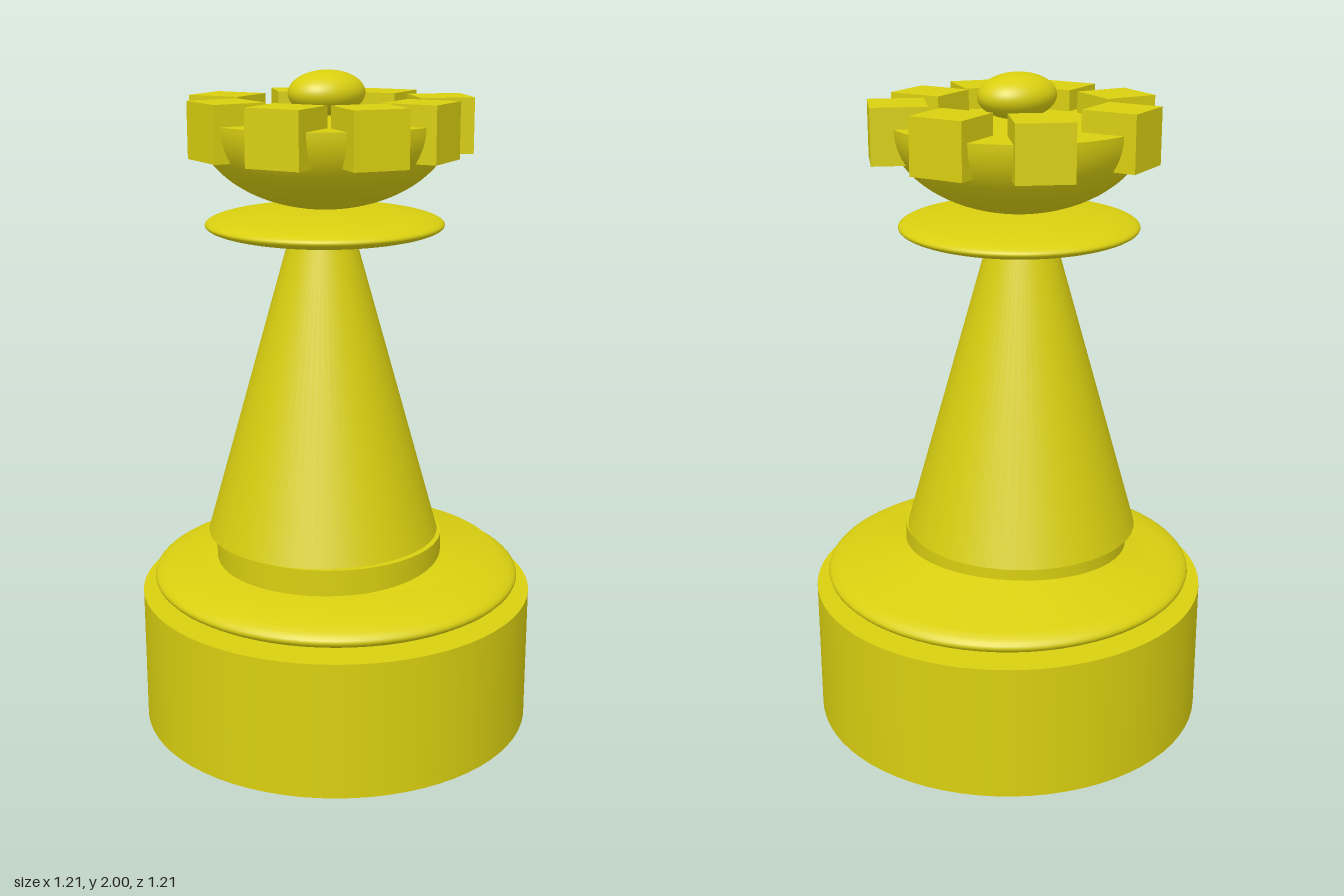
import * as THREE from 'three';

export function createModel() {
  const group = new THREE.Group();
  const yellow = new THREE.MeshStandardMaterial({ color: 0xd9cf10 });
  yellow.name = 'yellow';

  const add = (name, geometry, x, y, z) => {
    const mesh = new THREE.Mesh(geometry, yellow);
    mesh.name = name;
    mesh.position.set(x, y, z);
    group.add(mesh);
    return mesh;
  };
  // Round section standing between two heights
  const round = (name, rTop, rBottom, y0, y1, x = 0, z = 0) =>
    add(name, new THREE.CylinderGeometry(rTop, rBottom, y1 - y0, 72), x, (y0 + y1) / 2, z);
  // Squashed sphere
  const ellipsoid = (name, rx, ry, rz, x, y, z) =>
    add(name, new THREE.SphereGeometry(1, 72, 36).scale(rx, ry, rz), x, y, z);

  // Foot
  round('base', 0.605, 0.605, 0, 0.42);
  ellipsoid('baseCushion', 0.567, 0.08, 0.567, 0, 0.465, 0);
  round('skirt', 0.25, 0.5, 0.5025, 0.565, -0.02, -0.04);
  round('stemRing', 0.347, 0.347, 0.48, 0.605, 0, 0.035);

  // Stem and collar
  round('stem', 0.095, 0.355, 0.605, 1.53, -0.026, 0.032);
  ellipsoid('collar', 0.355, 0.047, 0.355, -0.026, 1.556, 0.02);

  // Crown bowl: lower half of a squashed sphere, closed by a flat top
  const profile = [];
  for (let i = 0; i <= 24; i++) {
    const a = (i / 24) * Math.PI / 2;
    profile.push(new THREE.Vector2(0.377 * Math.sin(a), -0.257 * Math.cos(a)));
  }
  add('crownBowl', new THREE.LatheGeometry(profile, 72), -0.026, 1.86, 0.018);
  add('crownTop', new THREE.CircleGeometry(0.377, 72).rotateX(-Math.PI / 2), -0.026, 1.86, 0.018);

  // Unevenly turned blocks around the rim: x, z, yaw
  const blocks = [
    [-0.071, -0.299, 0.23], [0.184, -0.26, -0.69], [0.282, -0.037, 0.21], [0.269, 0.177, -0.5],
    [0.086, 0.313, 0.22], [-0.149, 0.303, -0.315], [-0.338, 0.1, 0.22], [-0.288, -0.175, -0.7],
  ];
  for (const [x, z, yaw] of blocks) {
    add('crownBlock', new THREE.BoxGeometry(0.167, 0.163, 0.163), x, 1.84, z).rotation.y = yaw;
  }

  // Finial
  ellipsoid('finial', 0.103, 0.065, 0.125, -0.03, 1.935, 0.006);

  return group;
}
